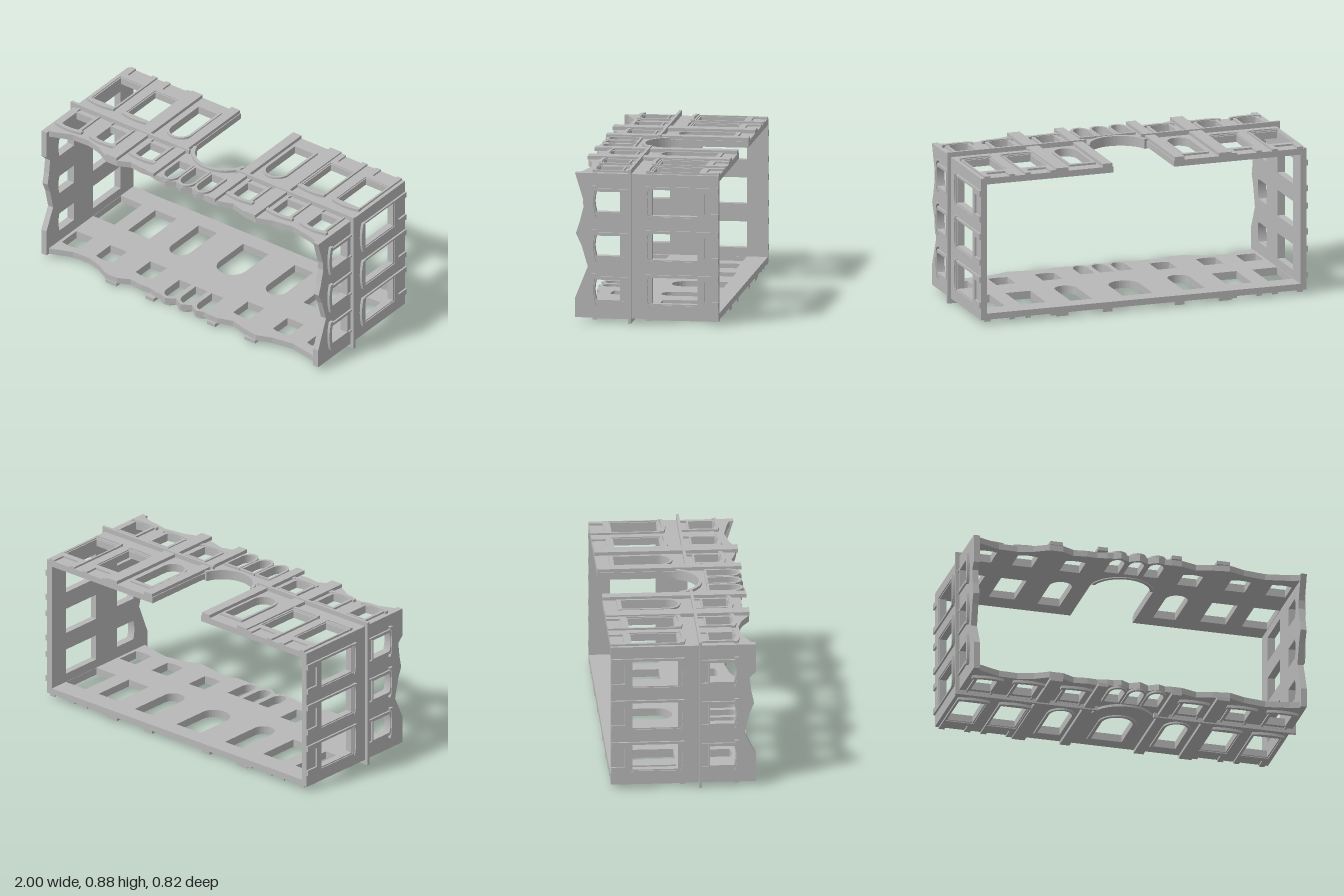
import * as THREE from 'three';

const MID = 0.4425;      // height of the shell's axis
const LOW = -0.41;       // foot of the walls
const T = 0.036;         // wall thickness
const stone = new THREE.MeshStandardMaterial({ color: 0xb8b8b8 });
stone.name = 'grey stone';

// Outline with straight jambs and a curved head
function arched(u, half, v0, v1, rise, path = new THREE.Shape()) {
  path.moveTo(u - half, v0);
  path.lineTo(u + half, v0);
  for (let i = 0; i <= 14; i++) {
    const a = (Math.PI * i) / 14;
    const s = Math.cos(a);
    const h = rise > 0.04 ? Math.sin(a) : 1 - s * s;
    path.lineTo(u + half * s, v1 - rise + rise * h);
  }
  path.closePath();
  return path;
}
const hole = (...a) => arched(...a, new THREE.Path());

// Slab standing on the wall plane, from depth w0 to w1
function slab(parent, name, shape, w0, w1) {
  const g = new THREE.ExtrudeGeometry(shape, { depth: w1 - w0, bevelEnabled: false, curveSegments: 12 });
  g.translate(0, 0, w0);
  const m = new THREE.Mesh(g, stone);
  m.name = name;
  parent.add(m);
}
function bar(parent, name, u0, u1, v0, v1, w1) {
  slab(parent, name, arched((u0 + u1) / 2, (u1 - u0) / 2, v0, v1, 0), -0.001, w1);
}
function framed(parent, name, outer, inner, w1) {
  outer.holes.push(inner);
  slab(parent, name, outer, -0.001, w1);
}

// Shallow curved lintel with small ears
function lintel(parent, u, half, v, height) {
  const s = new THREE.Shape();
  s.moveTo(u - half, v - 0.006);
  s.lineTo(u - half * 0.8, v);
  for (let i = 0; i <= 8; i++) {
    const k = -0.8 + 0.2 * i;
    s.lineTo(u + half * k, v + height * 0.25 * (1 - k * k));
  }
  s.lineTo(u + half, v - 0.006);
  for (let i = 0; i <= 10; i++) {
    const k = 1 - 0.2 * i;
    s.lineTo(u + half * k, v + height * (0.55 + 0.45 * (1 - k * k)));
  }
  s.closePath();
  slab(parent, 'lintel', s, -0.001, 0.016);
}

// Ground floor window: surround running to the foot, with a sunk panel
function lowerSurround(parent, u) {
  const s = new THREE.Shape();
  [[-0.092, LOW], [-0.058, LOW], [-0.058, -0.333], [0.058, -0.333], [0.058, LOW], [0.092, LOW],
    [0.092, -0.012], [-0.092, -0.012]].forEach(([a, b], i) => (i ? s.lineTo(u + a, b) : s.moveTo(u + a, b)));
  s.closePath();
  framed(parent, 'lower window surround', s, hole(u, 0.082, -0.297, -0.022, 0), 0.011);
  framed(parent, 'lower window frame', arched(u, 0.082, -0.297, -0.022, 0), hole(u, 0.075, -0.29, -0.03, 0), 0.005);
  lintel(parent, u, 0.094, -0.012, 0.03);
}
// Upper floor window
function upperSurround(parent, u) {
  const s = arched(u, 0.075, 0.1, 0.298, 0);
  s.holes.push(hole(u, 0.064, 0.105, 0.14, 0));
  framed(parent, 'upper window surround', s, hole(u, 0.058, 0.15, 0.297, 0.01), 0.011);
  lintel(parent, u, 0.092, 0.294, 0.03);
}

// Wall frame: local u along, v up the building, w outward
function wallGroup(name, u, w, offset) {
  const g = new THREE.Group();
  g.name = name;
  g.matrix.makeBasis(u, new THREE.Vector3(0, 0, 1), w);
  g.matrix.setPosition(w.clone().multiplyScalar(offset).add(new THREE.Vector3(0, MID, 0)));
  g.matrix.decompose(g.position, g.quaternion, g.scale);
  return g;
}

// Broken upper edges, listed as [position, height]
const longEdge = [[-0.978, 0.4], [-0.91, 0.375], [-0.81, 0.335], [-0.7, 0.33], [-0.61, 0.355], [-0.53, 0.4],
  [-0.45, 0.4], [-0.38, 0.365], [-0.3, 0.375], [-0.24, 0.37], [-0.185, 0.385], [-0.15, 0.385], [-0.11, 0.402], [-0.055, 0.37],
  [0, 0.402], [0.055, 0.37], [0.11, 0.402], [0.15, 0.385], [0.19, 0.39], [0.25, 0.39], [0.34, 0.36], [0.43, 0.385],
  [0.53, 0.4], [0.62, 0.365], [0.75, 0.345], [0.89, 0.37], [0.978, 0.4]];
const rightEdge = [[0.02, 0.41], [0.14, 0.41], [0.32, 0.337], [0.44, 0.372], [0.51, 0.405], [0.57, 0.385],
  [0.66, 0.362], [0.71, 0.365], [0.857, 0.41]];
const leftEdge = [[0.02, 0.41], [0.19, 0.41], [0.32, 0.347], [0.44, 0.375], [0.5, 0.4], [0.57, 0.385],
  [0.655, 0.375], [0.69, 0.41], [0.857, 0.41]];

function longWall(name, sign) {
  const top = sign > 0;
  const g = wallGroup(name, new THREE.Vector3(-sign, 0, 0), new THREE.Vector3(0, sign, 0), 0.4145);
  const s = new THREE.Shape();
  s.moveTo(-0.978, LOW);
  if (top) { // collapsed arched gateway
    s.lineTo(-0.183, LOW);
    for (let i = 0; i <= 24; i++) {
      const a = Math.PI * (1 - i / 24);
      s.lineTo(0.183 * Math.cos(a), -0.01 + 0.175 * Math.sin(a));
    }
    s.lineTo(0.183, LOW);
  }
  s.lineTo(0.978, LOW);
  const edge = longEdge.map(([x, v]) => [-sign * x, v]).sort((a, b) => b[0] - a[0]);
  edge.forEach(([u, v]) => s.lineTo(u, v));
  s.closePath();
  if (!top) s.holes.push(hole(0, 0.09, -0.31, 0, 0.085));

  for (const m of [-1, 1]) {
    for (const u of [0.62, 0.865]) {
      s.holes.push(hole(m * u, 0.075, -0.29, -0.03, 0));
      lowerSurround(g, m * u);
    }
    for (const u of [0.345, 0.625, 0.865]) {
      s.holes.push(hole(m * u, 0.058, 0.15, 0.297, 0.01));
      upperSurround(g, m * u);
    }
    s.holes.push(hole(m * 0.34, 0.065, -0.31, 0.01, 0.065));
    framed(g, 'arched window surround', arched(m * 0.34, 0.08, -0.335, 0.024, 0.08),
      hole(m * 0.34, 0.065, -0.31, 0.01, 0.065), 0.011);
    bar(g, 'inner pilaster', m * 0.217 - 0.029, m * 0.217 + 0.029, LOW, 0.405, 0.02);
    bar(g, 'outer pilaster', m * 0.49 - 0.038, m * 0.49 + 0.038, LOW, 0.405, 0.02);
    bar(g, 'belt course', m > 0 ? 0.165 : -1, m > 0 ? 1 : -0.165, 0.088, 0.104, 0.028);
  }
  // three narrow arched windows above the gateway
  for (const u of [-0.115, 0, 0.115]) {
    s.holes.push(hole(u, 0.042, 0.203, 0.378, 0.055));
    framed(g, 'narrow window surround', arched(u, 0.055, 0.19, 0.396, 0.068),
      hole(u, 0.042, 0.203, 0.378, 0.055), 0.013);
  }
  slab(g, 'wall', s, -T, 0);

  // gateway arch moulding
  const ring = new THREE.Shape();
  const rim = (k, i) => [k * Math.cos(i), -0.01 + (k - 0.008) * Math.sin(i)];
  for (let i = 0; i <= 24; i++) ring.lineTo(...rim(0.188, 0.25 + (Math.PI - 0.5) * i / 24));
  for (let i = 24; i >= 0; i--) ring.lineTo(...rim(0.168, 0.25 + (Math.PI - 0.5) * i / 24));
  ring.curves.shift();
  ring.closePath();
  slab(g, 'gateway arch moulding', ring, top ? -T - 0.006 : -0.001, 0.015);
  if (!top) framed(g, 'door surround', arched(0, 0.11, -0.335, 0.02, 0.105), hole(0, 0.09, -0.31, 0, 0.085), 0.008);
  return g;
}

function sideWall(name, sign, edge) {
  const g = wallGroup(name, new THREE.Vector3(0, sign, 0), new THREE.Vector3(sign, 0, 0), 0.978);
  const s = new THREE.Shape();
  s.moveTo(-0.4145, LOW);
  s.lineTo(0.4145, LOW);
  edge.map(([y, v]) => [THREE.MathUtils.clamp(sign * (y - MID), -0.4145, 0.4145), v])
    .sort((a, b) => b[0] - a[0]).forEach(([u, v]) => s.lineTo(u, v));
  s.closePath();
  for (const u of [-0.2525, 0, 0.2525]) {
    s.holes.push(hole(u, 0.075, -0.29, -0.03, 0), hole(u, 0.058, 0.15, 0.297, 0.01));
    lowerSurround(g, u);
    upperSurround(g, u);
  }
  slab(g, 'wall', s, -T, 0);
  bar(g, 'belt course', -0.4425, 0.4425, 0.088, 0.104, 0.022);
  return g;
}

export function createModel() {
  const model = new THREE.Group();
  model.name = 'ruined building shell';
  model.add(
    longWall('broken gateway wall', 1),
    longWall('door wall', -1),
    sideWall('left end wall', 1, rightEdge),
    sideWall('right end wall', -1, leftEdge),
  );
  return model;
}
